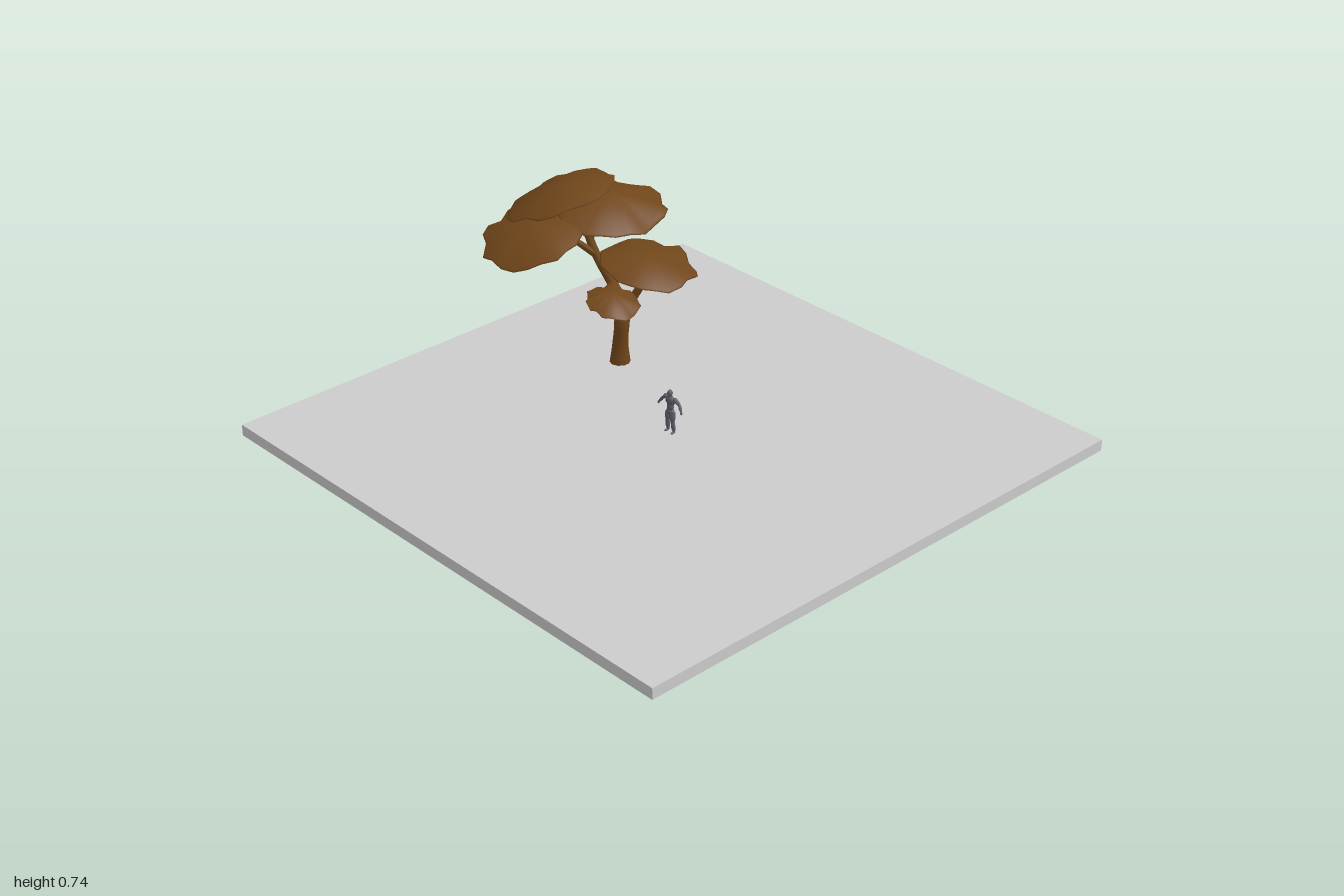
import * as THREE from 'three';

const V = (x, y, z) => new THREE.Vector3(x, y, z);
const grey = new THREE.MeshStandardMaterial({ color: 0xcccccc });
const brown = new THREE.MeshStandardMaterial({ color: 0x70461a, side: THREE.DoubleSide });
const slate = new THREE.MeshStandardMaterial({ color: 0x5c5f66 });

function add(parent, name, geometry, material) {
  const mesh = new THREE.Mesh(geometry, material);
  mesh.name = name;
  parent.add(mesh);
  return mesh;
}

// Seeded random numbers in 0..1
function seeded(seed) {
  return () => {
    seed = (seed * 16807) % 2147483647;
    return seed / 2147483647;
  };
}

// Tube along points whose radius follows a list of radii
function limb(points, radii, sides = 10, steps = 14) {
  const curve = new THREE.CatmullRomCurve3(points);
  const geo = new THREE.TubeGeometry(curve, steps, 1, sides);
  const pos = geo.attributes.position, nor = geo.attributes.normal;
  for (let i = 0; i < pos.count; i++) {
    const u = Math.floor(i / (sides + 1)) / steps;
    const f = u * (radii.length - 1), k = Math.min(Math.floor(f), radii.length - 2);
    const r = THREE.MathUtils.lerp(radii[k], radii[k + 1], f - k);
    const p = curve.getPointAt(u).addScaledVector(V(nor.getX(i), nor.getY(i), nor.getZ(i)), r);
    pos.setXYZ(i, p.x, p.y, p.z);
  }
  geo.computeVertexNormals();
  return geo;
}

// Thin tilted dome of leaves: ragged rim, hollow underside
function canopy([x, y, z], rx, rz, slopeX, slopeZ, dome, seed) {
  const n = 22, rand = seeded(seed);
  const rim = Array.from({ length: n }, (_, i) => 0.93 + 0.11 * rand() + (i % 3 ? 0.02 : -0.04));
  const droop = rim.map(() => (rand() - 0.5) * 0.022);
  const geo = new THREE.SphereGeometry(1, n, 12);
  const pos = geo.attributes.position;
  for (let i = 0; i < pos.count; i++) {
    const px = pos.getX(i), py = pos.getY(i), pz = pos.getZ(i);
    const k = (i % (n + 1)) % n;
    const r = Math.hypot(px, pz);
    const spread = THREE.MathUtils.lerp(1, rim[k], r * r);
    const dx = px * rx * spread, dz = pz * rz * spread;
    const lift = dome * (1 - r * r) * (py >= 0 ? 1 : 0.55);
    const edge = droop[k] * r * r;
    pos.setXYZ(i, x + dx, y + slopeX * dx + slopeZ * dz + lift + edge, z + dz);
  }
  geo.computeVertexNormals();
  return geo;
}

function makeTree() {
  const tree = new THREE.Group();
  tree.name = 'tree';
  // Trunk and branches
  add(tree, 'trunk', limb(
    [V(-0.475, 0.035, -0.208), V(-0.465, 0.12, -0.202), V(-0.452, 0.2, -0.198), V(-0.448, 0.28, -0.2)],
    [0.037, 0.029, 0.026, 0.027, 0.018]), brown);
  add(tree, 'mainBranch', limb(
    [V(-0.453, 0.22, -0.2), V(-0.475, 0.33, -0.188), V(-0.515, 0.44, -0.15),
      V(-0.54, 0.52, -0.132), V(-0.575, 0.69, -0.11)],
    [0.024, 0.019, 0.015, 0.013, 0.01]), brown);
  add(tree, 'frontBranch', limb(
    [V(-0.522, 0.455, -0.145), V(-0.545, 0.525, -0.07), V(-0.57, 0.605, 0.04)],
    [0.013, 0.01, 0.006]), brown);
  add(tree, 'backBranch', limb(
    [V(-0.538, 0.51, -0.133), V(-0.525, 0.57, -0.16), V(-0.5, 0.65, -0.19)],
    [0.012, 0.01, 0.006]), brown);
  add(tree, 'sideBranch', limb(
    [V(-0.448, 0.22, -0.2), V(-0.415, 0.31, -0.222), V(-0.385, 0.37, -0.238), V(-0.362, 0.46, -0.248)],
    [0.02, 0.015, 0.012, 0.007]), brown);
  add(tree, 'smallBranch', limb(
    [V(-0.445, 0.23, -0.195), V(-0.425, 0.29, -0.17), V(-0.4, 0.355, -0.125)],
    [0.014, 0.009, 0.005]), brown);
  // Canopies: centre, half widths, slopes, dome height, seed
  const canopies = [
    ['topCanopy', [-0.615, 0.665, -0.08], 0.178, 0.185, 0.3, -0.2, 0.055, 1201],
    ['frontCanopy', [-0.585, 0.575, 0.08], 0.185, 0.162, 0, -0.35, 0.05, 2503],
    ['backCanopy', [-0.49, 0.622, -0.19], 0.168, 0.195, -0.18, 0, 0.06, 3607],
    ['sideCanopy', [-0.37, 0.437, -0.245], 0.162, 0.162, -0.19, 0.05, 0.042, 4801],
    ['smallCanopy', [-0.39, 0.338, -0.105], 0.092, 0.092, -0.25, 0, 0.03, 5903],
  ];
  for (const [name, ...shape] of canopies) add(tree, name, canopy(...shape), brown);
  return tree;
}

function makeFigure() {
  const figure = new THREE.Group();
  figure.name = 'figure';
  figure.position.z = -0.003;
  const blob = (name, x, y, z, sx, sy, sz) => {
    const mesh = add(figure, name, new THREE.SphereGeometry(1, 14, 10), slate);
    mesh.position.set(x, y, z);
    mesh.scale.set(sx, sy, sz);
  };
  // Head and torso
  blob('head', 0, 0.188, 0.002, 0.0085, 0.012, 0.01);
  blob('chest', 0, 0.16, 0, 0.021, 0.017, 0.012);
  blob('waist', 0, 0.138, 0, 0.014, 0.018, 0.01);
  blob('hips', 0, 0.119, 0, 0.017, 0.012, 0.011);
  add(figure, 'neck', limb([V(0, 0.165, -0.001), V(0, 0.182, 0.001)], [0.009, 0.006], 8, 3), slate);
  // Limbs on both sides
  for (const s of [1, -1]) {
    const side = s > 0 ? 'left' : 'right';
    blob(side + 'Shoulder', s * 0.022, 0.168, -0.001, 0.009, 0.008, 0.008);
    add(figure, side + 'Arm', limb(
      [V(s * 0.022, 0.169, -0.001), V(s * 0.038, 0.155, -0.004), V(s * 0.052, 0.137, 0.001)],
      [0.007, 0.0065, 0.005, 0.006, 0.003], 8, 10), slate);
    blob(side + 'Hand', s * 0.054, 0.133, 0.002, 0.0035, 0.006, 0.004);
    add(figure, side + 'Leg', limb(
      [V(s * 0.009, 0.12, 0), V(s * 0.012, 0.082, 0.001), V(s * 0.014, 0.045, -0.003)],
      [0.01, 0.0105, 0.0065, 0.0075, 0.004], 8, 12), slate);
    blob(side + 'Foot', s * 0.015, 0.044, 0.003, 0.005, 0.004, 0.01);
  }
  return figure;
}

export function createModel() {
  const model = new THREE.Group();
  model.name = 'treeScene';
  // Ground slab
  add(model, 'ground', new THREE.BoxGeometry(2, 0.04, 2), grey).position.y = 0.02;
  model.add(makeTree(), makeFigure());
  return model;
}
